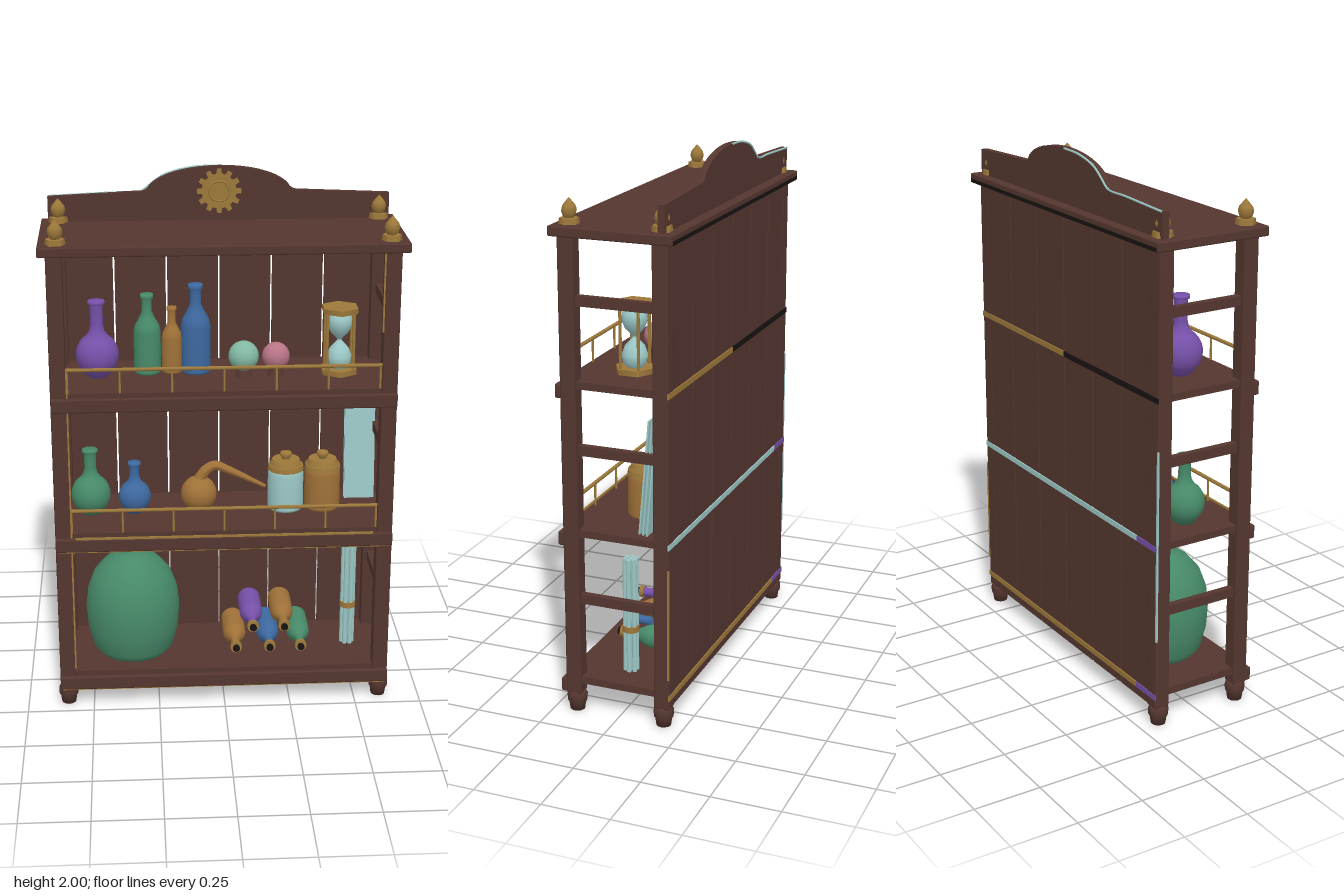
import * as THREE from 'three';
import { RoundedBoxGeometry } from 'three/addons/geometries/RoundedBoxGeometry.js';

const mat = (name, color) => new THREE.MeshStandardMaterial({ name, color });

export function createModel() {
  const root = new THREE.Group();
  root.name = 'displayShelf';
  const wood = mat('dark wood', 0x54362f);
  const brass = mat('brass', 0x9c783a);
  const amber = mat('amber', 0x9f7138);
  const green = mat('green glass', 0x478a69);
  const blue = mat('blue glass', 0x3d689f);
  const purple = mat('purple glass', 0x7650a8);
  const pale = mat('pale glass', 0x9cc8c6);
  const pink = mat('pink glass', 0xb87486);
  const teal = mat('teal glass', 0x82b8a4);
  const black = mat('black', 0x171311);

  const add = (name, geo, material, x = 0, y = 0, z = 0, parent = root) => {
    const m = new THREE.Mesh(geo, material);
    m.name = name;
    m.position.set(x, y, z);
    parent.add(m);
    return m;
  };
  const box = (name, w, h, d, x, y, z, m = wood) => add(name, new THREE.BoxGeometry(w, h, d), m, x, y, z);
  const board = (name, w, h, d, x, y, z) => add(name, new RoundedBoxGeometry(w, h, d, 2, 0.006), wood, x, y, z);
  const cyl = (name, rt, rb, h, x, y, z, m, p = root, seg = 20) =>
    add(name, new THREE.CylinderGeometry(rt, rb, h, seg), m, x, y, z, p);
  const lathe = (pts, seg = 24) => new THREE.LatheGeometry(pts.map(([r, y]) => new THREE.Vector2(r, y)), seg);
  const group = (name, x, y, z) => {
    const g = new THREE.Group();
    g.name = name;
    g.position.set(x, y, z);
    root.add(g);
    return g;
  };

  // Frame: posts, feet, finials, side rails
  const footGeo = lathe([[0, 0], [0.027, 0], [0.031, 0.03], [0.036, 0.035], [0.037, 0.06], [0.03, 0.075], [0, 0.075]], 12);
  const finialGeo = lathe([[0.014, 0.018], [0.022, 0.026], [0.028, 0.045], [0.024, 0.06], [0.012, 0.075], [0, 0.088]], 8);
  for (const sx of [-1, 1]) {
    for (const sz of [-1, 1]) {
      board('cornerPost', 0.058, 1.7, 0.058, sx * 0.597, 0.92, sz * 0.172);
      add('foot', footGeo, wood, sx * 0.597, 0, sz * 0.17);
      const f = group('finial', sx * 0.59, 1.8, sz * 0.168);
      cyl('finialBase', 0.034, 0.037, 0.02, 0, 0.01, 0, brass, f, 6).rotation.y = Math.PI / 6;
      add('finialBud', finialGeo, brass, 0, 0, 0, f);
    }
    for (const y of [0.443, 1.004, 1.539]) box('sideRail', 0.025, 0.036, 0.29, sx * 0.597, y, 0);
  }
  board('topBoard', 1.308, 0.036, 0.45, 0, 1.782, -0.003);

  // Shelves with front lips
  for (const y of [0.138, 0.71, 1.256]) {
    box('shelf', 1.23, 0.027, 0.385, 0, y - 0.0135, 0);
    board('shelfLip', 1.25, 0.052, 0.022, 0, y - 0.039, 0.21);
  }

  // Back planks with narrow gaps
  for (let i = 0; i < 6; i++) box('backPlank', 0.1895, 1.69, 0.015, (i - 2.5) * 0.196, 0.92, -0.192);

  // Inlay strips along the back edges: [x from, x to, y, colour]
  [[-0.625, 0, 1.243, black], [0, 0.625, 1.243, brass], [-0.5, 0.625, 0.696, pale], [-0.625, -0.5, 0.696, purple],
    [-0.5, 0.625, 0.118, brass], [-0.625, -0.5, 0.118, purple]].forEach(([a, b, y, m]) =>
    box('backInlay', b - a, 0.02, 0.006, (a + b) / 2, y, -0.201, m));
  box('topBackInlay', 1.29, 0.014, 0.004, 0, 1.773, -0.228, black);

  // Inlay strips along posts and shelf lips
  box('leftInnerInlay', 0.006, 1.2, 0.005, -0.566, 0.755, 0.2, brass);
  box('rightInnerInlay', 0.006, 0.29, 0.005, 0.566, 1.615, 0.2, brass);
  box('paleRearInlay', 0.007, 0.72, 0.007, -0.624, 0.7, -0.199, pale);
  box('brassRearInlay', 0.007, 0.42, 0.007, 0.624, 0.4, -0.199, brass);
  box('lipTopInlay', 1.1, 0.008, 0.006, 0, 0.7, 0.219, brass);
  for (const y of [0.646, 0.074]) box('lipBottomInlay', 1.23, 0.006, 0.012, 0, y, 0.212, brass);

  // Gallery rails
  for (const y of [0.71, 1.256]) {
    const rail = cyl('galleryRail', 0.007, 0.007, 1.14, 0, y + 0.088, 0.188, brass, root, 8);
    rail.rotation.z = Math.PI / 2;
    for (let i = -3; i <= 3; i++) cyl('galleryBaluster', 0.0045, 0.0045, 0.088, i * 0.188, y + 0.044, 0.188, brass, root, 6);
  }

  // Arched crest board
  const crest = new THREE.Shape();
  crest.moveTo(-0.627, 1.8);
  crest.lineTo(0.627, 1.8);
  crest.lineTo(0.627, 1.893);
  crest.lineTo(0.285, 1.908);
  crest.quadraticCurveTo(0.262, 1.912, 0.255, 1.93);
  crest.bezierCurveTo(0.17, 2.022, -0.17, 2.022, -0.255, 1.93);
  crest.quadraticCurveTo(-0.262, 1.912, -0.285, 1.908);
  crest.lineTo(-0.627, 1.893);
  add('crestBoard', new THREE.ExtrudeGeometry(crest, { depth: 0.025, bevelEnabled: false, curveSegments: 16 }), wood, 0, 0, -0.192);

  // Pale edging along one half of the crest's rear edge
  const edge = new THREE.CatmullRomCurve3([[-0.625, 1.891], [-0.4, 1.901], [-0.285, 1.906], [-0.255, 1.928], [-0.2, 1.966], [-0.1, 1.992], [0, 1.997]]
    .map(([x, y]) => new THREE.Vector3(x, y, -0.192)));
  add('crestEdging', new THREE.TubeGeometry(edge, 32, 0.004, 6), pale);

  // Solid gear ornament with a raised ring and hub
  const gear = new THREE.Shape();
  const teeth = 12;
  for (let i = 0; i < teeth; i++) {
    [[-0.3, 0.064], [-0.19, 0.082], [0.19, 0.082], [0.3, 0.064]].forEach(([o, r], k) => {
      const a = ((i + o) / teeth) * Math.PI * 2;
      gear[i + k === 0 ? 'moveTo' : 'lineTo'](Math.cos(a) * r, Math.sin(a) * r);
    });
  }
  add('gear', new THREE.ExtrudeGeometry(gear, { depth: 0.008, bevelEnabled: false }), brass, 0, 1.908, -0.167);
  add('gearRing', new THREE.TorusGeometry(0.037, 0.004, 8, 28), brass, 0, 1.908, -0.159);
  cyl('gearHub', 0.02, 0.02, 0.012, 0, 1.908, -0.16, brass).rotation.x = Math.PI / 2;

  // Round flasks with long necks
  const flask = (name, r, h, m, x, y, z) => {
    const pts = [[0, 0], [r * 0.5, 0]];
    for (let a = -50; a <= 58; a += 12) {
      const t = (a * Math.PI) / 180;
      pts.push([r * Math.cos(t), r * (1.02 + Math.sin(t) * 1.05)]);
    }
    const n = r * 0.3;
    pts.push([n * 1.2, r * 2.15], [n, r * 2.45], [n, h - 0.014], [n * 1.3, h - 0.012], [n * 1.3, h], [0, h]);
    add(name, lathe(pts), m, x, y, z);
  };
  flask('purpleFlask', 0.079, 0.285, purple, -0.457, 1.262, 0);
  flask('greenFlask', 0.074, 0.255, green, -0.495, 0.715, 0);
  flask('blueFlask', 0.061, 0.2, blue, -0.33, 0.715, 0);

  // Tall bottles
  const bottleGeo = (r, h) => {
    const n = r * 0.37;
    return lathe([[0, 0], [r * 0.92, 0], [r, 0.008], [r, h * 0.53], [r * 0.88, h * 0.61], [r * 0.58, h * 0.7],
      [n, h * 0.78], [n, h * 0.94], [n * 1.3, h * 0.95], [n * 1.3, h], [0, h]]);
  };
  add('greenBottle', bottleGeo(0.05, 0.3), green, -0.273, 1.258, -0.04);
  add('amberBottle', bottleGeo(0.038, 0.25), amber, -0.182, 1.258, -0.04);
  add('blueBottle', bottleGeo(0.055, 0.335), blue, -0.094, 1.258, -0.04);

  // Bottles lying in a stack, necks forward
  [[0.05, 0.185, amber], [0.18, 0.185, blue], [0.3, 0.185, green], [0.115, 0.272, purple], [0.235, 0.272, amber]].forEach(([x, y, m]) => {
    const b = group('lyingBottle', x, y, -0.14);
    b.rotation.x = Math.PI / 2;
    add('bottleBody', bottleGeo(0.044, 0.26), m, 0, 0, 0, b);
    cyl('bottleCollar', 0.0225, 0.0225, 0.016, 0, 0.254, 0, brass, b, 12);
    cyl('bottleCork', 0.014, 0.012, 0.016, 0, 0.266, 0, black, b, 12);
  });

  // Glass orbs on small wooden stands
  [['tealOrb', 0.08, 0.056, teal, 0.02], ['pinkOrb', 0.2, 0.051, pink, 0.01]].forEach(([name, x, r, m, z]) => {
    add(name, new THREE.SphereGeometry(r, 24, 16), m, x, 1.278 + r, z);
    cyl('orbStand', 0.022, 0.032, 0.028, x, 1.27, z, wood);
  });

  // Hourglass with hexagonal plates
  const hg = group('hourglass', 0.435, 1.258, 0);
  for (const y of [0.01, 0.243]) cyl('hourglassPlate', 0.072, 0.072, 0.02, 0, y, 0, brass, hg, 6);
  add('hourglassBulbs', lathe([[0.03, 0.02], [0.044, 0.04], [0.046, 0.065], [0.035, 0.095], [0.01, 0.122], [0.008, 0.127],
    [0.01, 0.132], [0.035, 0.158], [0.046, 0.188], [0.044, 0.213], [0.03, 0.233]]), pale, 0, 0, 0, hg);
  for (const sx of [-1, 1]) {
    for (const sz of [-1, 1]) cyl('hourglassRod', 0.006, 0.006, 0.225, sx * 0.049, 0.126, sz * 0.034, brass, hg, 8);
  }

  // Retort with an elbowed, tapered spout
  add('retortBulb', new THREE.SphereGeometry(0.068, 24, 16), amber, -0.087, 0.783, 0);
  const curve = new THREE.CatmullRomCurve3([[-0.087, 0.835], [-0.06, 0.876], [-0.025, 0.895], [0.02, 0.878], [0.09, 0.844], [0.165, 0.806]]
    .map(([x, y]) => new THREE.Vector3(x, y, 0)));
  const spout = new THREE.TubeGeometry(curve, 24, 0.023, 12);
  const pos = spout.attributes.position, v = new THREE.Vector3();
  for (let i = 0; i < pos.count; i++) {
    const t = Math.floor(i / 13) / 24, c = curve.getPointAt(t);
    v.fromBufferAttribute(pos, i).sub(c).multiplyScalar(1 - 0.7 * t).add(c);
    pos.setXYZ(i, v.x, v.y, v.z);
  }
  spout.computeVertexNormals();
  add('retortSpout', spout, amber);

  // Lidded jars
  [['paleJar', 0.245, pale], ['amberJar', 0.385, amber]].forEach(([name, x, m]) => {
    const j = group(name, x, 0.71, -0.02);
    add('jarBody', lathe([[0, 0], [0.062, 0], [0.068, 0.01], [0.068, 0.145], [0.058, 0.168], [0, 0.17]]), m, 0, 0, 0, j);
    cyl('jarRim', 0.066, 0.069, 0.018, 0, 0.168, 0, brass, j);
    cyl('jarLid', 0.052, 0.062, 0.024, 0, 0.187, 0, brass, j);
    add('jarKnob', lathe([[0.014, 0.195], [0.016, 0.205], [0.024, 0.216], [0.02, 0.226], [0, 0.23]], 16), brass, 0, 0, 0, j);
  });

  // Leaning glass panes
  for (let i = 0; i < 3; i++) {
    box('glassPane', 0.115, 0.43 - i * 0.004, 0.006, 0.536, 0.928, -0.125 + i * 0.014, pale).rotation.x = -0.09;
  }

  // Large carboy
  add('carboy', lathe([[0, 0], [0.13, 0], [0.155, 0.03], [0.175, 0.11], [0.18, 0.19], [0.172, 0.26], [0.148, 0.325], [0.105, 0.375],
    [0.06, 0.405], [0.043, 0.42], [0.04, 0.448], [0.05, 0.452], [0.05, 0.47], [0, 0.47]], 32), green, -0.345, 0.138, 0);

  // Bundle of glass rods with a band
  for (let i = 0; i < 7; i++) {
    const a = (i * Math.PI) / 3, r = i === 6 ? 0 : 0.02;
    cyl('glassRod', 0.009, 0.009, 0.44, 0.493 + Math.cos(a) * r, 0.358, Math.sin(a) * r, pale, root, 10);
  }
  cyl('rodBand', 0.031, 0.031, 0.022, 0.493, 0.305, 0, brass);

  return root;
}
